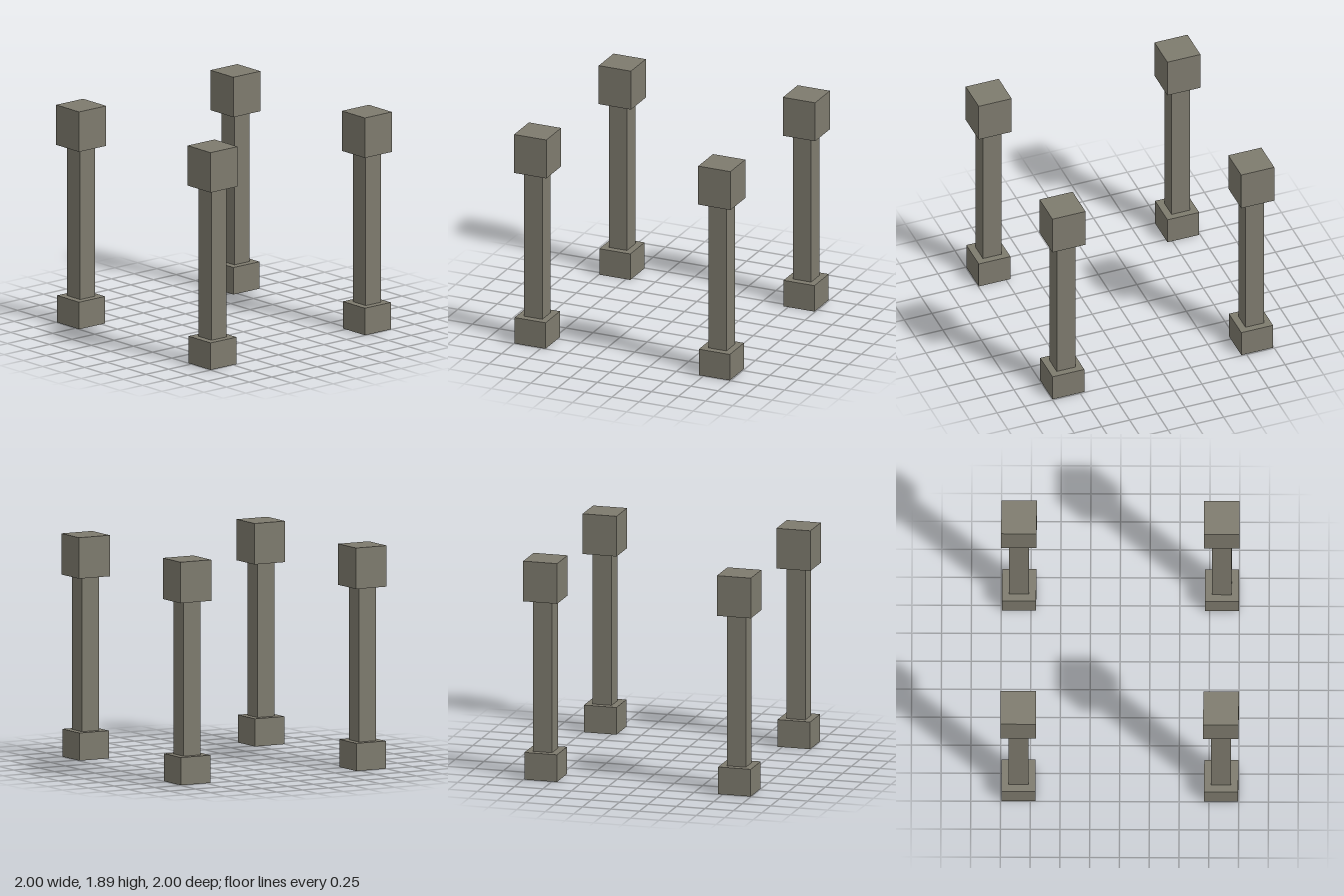
import * as THREE from 'three';

export function createModel() {
  const model = new THREE.Group();
  model.name = 'pillars';
  const stone = new THREE.MeshStandardMaterial({ color: 0x7e7b6e });
  stone.name = 'weathered stone';

  // Square block spanning the heights y0 to y1
  const block = (name, width, y0, y1, dx, dz) => {
    const mesh = new THREE.Mesh(new THREE.BoxGeometry(width, y1 - y0, width), stone);
    mesh.name = name;
    mesh.position.set(dx, (y0 + y1) / 2, dz);
    return mesh;
  };

  // One pillar at each corner, with the shaft and base set slightly off the cap's axis
  for (const [side, x] of [['Left', 0.851], ['Right', -0.851]]) {
    for (const [end, z] of [['front', 0.851], ['back', -0.851]]) {
      const pillar = new THREE.Group();
      pillar.name = `${end}${side}Pillar`;
      pillar.position.set(x, 0, z);
      pillar.add(
        block('base', 0.286, 0, 0.235, -0.002, 0.002),
        block('shaft', 0.167, 0.235, 1.545, -0.001, 0.001),
        block('cap', 0.298, 1.545, 1.893, 0, 0),
      );
      model.add(pillar);
    }
  }
  return model;
}
